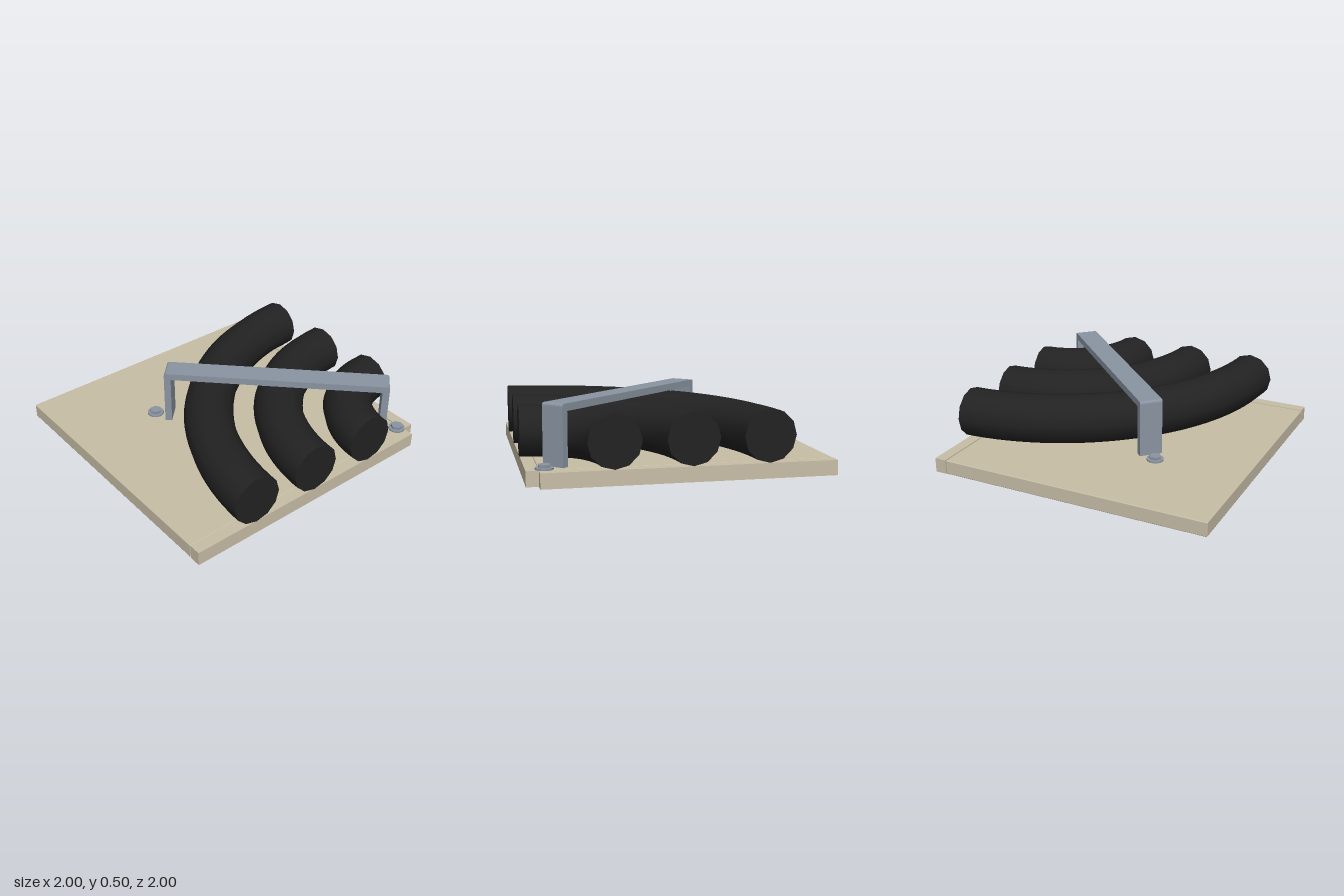
import * as THREE from 'three';
import { RoundedBoxGeometry } from 'three/addons/geometries/RoundedBoxGeometry.js';

const board = new THREE.MeshStandardMaterial({ color: 0xc8bea7 });
board.name = 'beige board';
const rubber = new THREE.MeshStandardMaterial({ color: 0x222222 });
rubber.name = 'black rubber';
const steel = new THREE.MeshStandardMaterial({ color: 0x8a94a2 });
steel.name = 'grey steel';

function add(parent, name, geometry, material, x = 0, y = 0, z = 0) {
  const mesh = new THREE.Mesh(geometry, material);
  mesh.name = name;
  mesh.position.set(x, y, z);
  parent.add(mesh);
  return mesh;
}

// Horizontal arc sweeping from the right edge round to the front edge
class BendCurve extends THREE.Curve {
  constructor(centre, radius, trim) {
    super();
    Object.assign(this, { centre, radius, trim });
  }
  getPoint(t, target = new THREE.Vector3()) {
    const a = this.trim + t * (Math.PI / 2 - 2 * this.trim);
    return target.set(
      this.centre - this.radius * Math.sin(a), 0.275,
      this.centre - this.radius * Math.cos(a));
  }
}

// Twelve-sided bent hose with flat end caps
function createHose(offset) {
  const hose = new THREE.Group();
  hose.name = 'hose';
  const trim = 0.038, end = 0.99, r = 0.173;
  const radius = (end - offset) / (Math.cos(trim) - Math.sin(trim));
  const curve = new BendCurve(end + radius * Math.sin(trim), radius, trim);
  add(hose, 'hoseBody', new THREE.TubeGeometry(curve, 32, r, 12), rubber);
  for (const t of [0, 1]) {
    const p = curve.getPoint(t);
    const cap = add(hose, 'hoseEnd', new THREE.CircleGeometry(r, 12), rubber, p.x, p.y, p.z);
    cap.lookAt(p.clone().addScaledVector(curve.getTangent(t), t ? 1 : -1));
  }
  return hose;
}

// Hex bolt on a round washer
function createBolt(x, z) {
  const bolt = new THREE.Group();
  bolt.name = 'bolt';
  add(bolt, 'washer', new THREE.CylinderGeometry(0.058, 0.058, 0.012, 24), steel, 0, 0.006, 0);
  const head = new THREE.CylinderGeometry(0.042, 0.042, 0.02, 6).toNonIndexed();
  head.computeVertexNormals();
  add(bolt, 'boltHead', head, steel, 0, 0.022, 0).rotation.y = Math.PI / 2;
  bolt.position.set(x, 0.1, z);
  return bolt;
}

// Upside-down U strap with softly rounded outer corners
function createBracket() {
  const h = 0.785, t = 0.048, top = 0.497, bottom = 0.1, c = 0.02;
  const s = new THREE.Shape();
  s.moveTo(-h, bottom);
  s.lineTo(-h, top - c);
  s.quadraticCurveTo(-h, top, -h + c, top);
  s.lineTo(h - c, top);
  s.quadraticCurveTo(h, top, h, top - c);
  s.lineTo(h, bottom);
  s.lineTo(h - t, bottom);
  s.lineTo(h - t, top - t);
  s.lineTo(-h + t, top - t);
  s.lineTo(-h + t, bottom);
  s.closePath();
  const width = 0.16;
  const geo = new THREE.ExtrudeGeometry(s, { depth: width, bevelEnabled: false, curveSegments: 4 });
  geo.translate(0, 0, -width / 2);
  const mesh = new THREE.Mesh(geo, steel);
  mesh.name = 'bracket';
  mesh.rotation.y = -Math.PI / 4;
  mesh.position.set(0.253, 0, 0.253);
  return mesh;
}

export function createModel() {
  const model = new THREE.Group();
  model.name = 'hoseClampBoard';

  // Base board with edge strips along the right and front
  add(model, 'baseBoard', new RoundedBoxGeometry(1.9, 0.1, 1.9, 2, 0.006), board, -0.05, 0.05, -0.05);
  add(model, 'rightEdgeStrip', new THREE.BoxGeometry(0.081, 0.1, 1.905), board, 0.9445, 0.05, -0.0475);
  add(model, 'frontEdgeStrip', new THREE.BoxGeometry(1.905, 0.1, 0.081), board, -0.0475, 0.05, 0.9445);

  // Three nested hoses
  for (const offset of [-0.543, -0.047, 0.449]) model.add(createHose(offset));

  // Diagonal strap and its bolts
  model.add(createBracket());
  for (const p of [-0.362, 0.868]) model.add(createBolt(p, p));

  return model;
}
